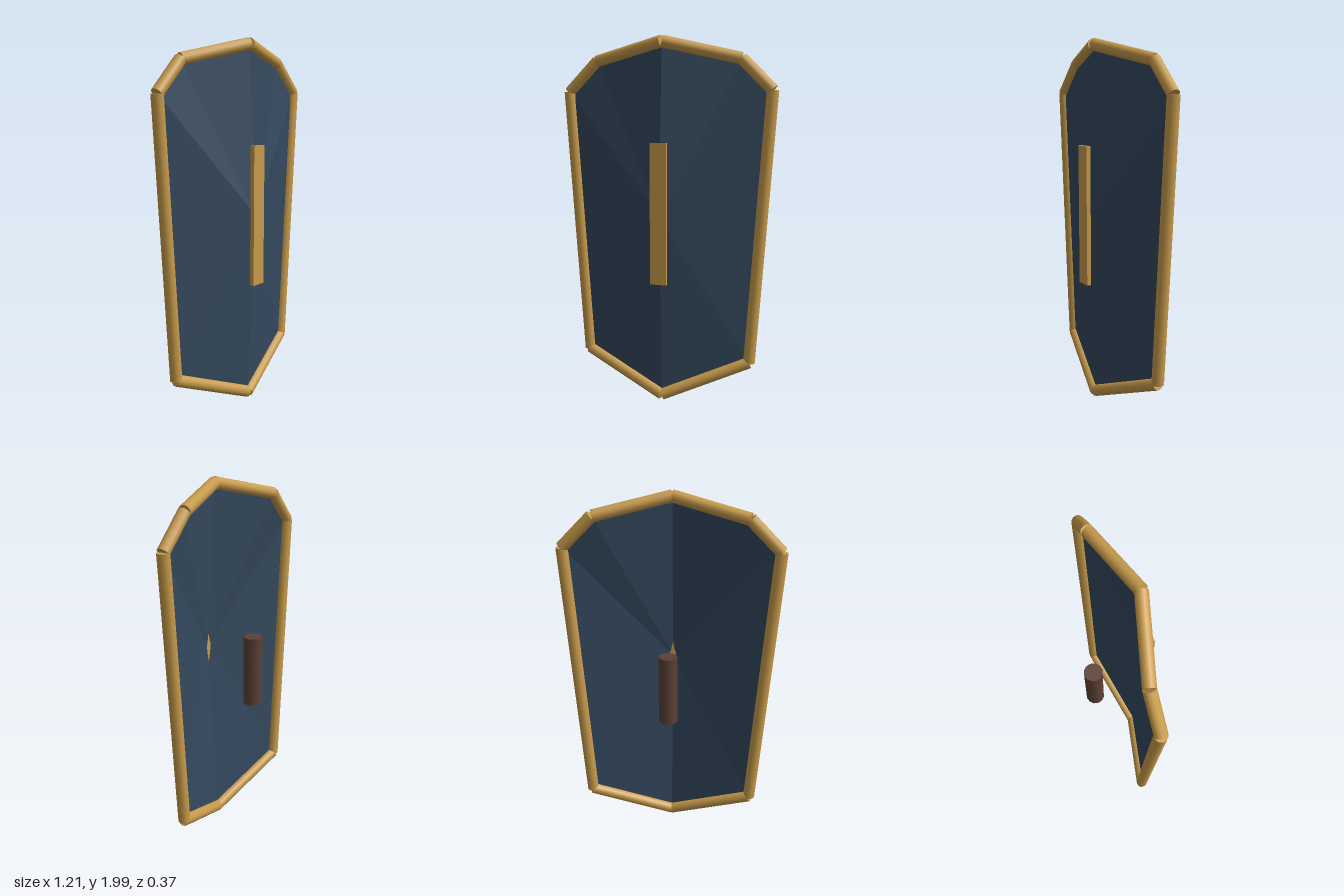
import * as THREE from 'three';

export function createModel() {
  const group = new THREE.Group();
  const make = (name, color, extra = {}) => {
    const m = new THREE.MeshStandardMaterial({ color, ...extra });
    m.name = name;
    return m;
  };
  const blue = make('slate blue', 0x34495e, { side: THREE.DoubleSide, flatShading: true });
  const gold = make('gold', 0xc89b4b);
  const brown = make('brown', 0x5d4037);

  const add = (name, geometry, material) => {
    const mesh = new THREE.Mesh(geometry, material);
    mesh.name = name;
    group.add(mesh);
    return mesh;
  };

  // Shield outline, counter-clockwise seen from the front, and the raised centre
  const outline = [
    [0, 1.968, 0.11], [-0.405, 1.88, 0], [-0.57, 1.715, 0], [-0.47, 0.23, 0],
    [0, 0.037, 0.11], [0.47, 0.23, 0], [0.57, 1.715, 0], [0.405, 1.88, 0],
  ].map((p) => new THREE.Vector3(...p));
  const apex = new THREE.Vector3(0, 1.06, 0.165);

  // Panel: a thin fan of facets around the centre
  const points = [];
  outline.forEach((p, i) => points.push(apex, p, outline[(i + 1) % outline.length]));
  const panel = new THREE.BufferGeometry().setFromPoints(points);
  panel.computeVertexNormals();
  add('panel', panel, blue);

  // Rim: one straight bar along each edge
  outline.forEach((a, i) => {
    const b = outline[(i + 1) % outline.length];
    const dir = b.clone().sub(a);
    const bar = add('rimBar', new THREE.CylinderGeometry(0.033, 0.033, dir.length(), 12), gold);
    bar.position.copy(a).add(b).multiplyScalar(0.5);
    bar.quaternion.setFromUnitVectors(new THREE.Vector3(0, 1, 0), dir.normalize());
  });

  // Upright strip on the front
  add('frontStrip', new THREE.BoxGeometry(0.09, 0.76, 0.024), gold).position.set(0, 1.062, 0.172);

  // Hand grip behind the panel
  add('grip', new THREE.CylinderGeometry(0.051, 0.051, 0.385, 12), brown).position.set(0, 0.982, -0.135);

  return group;
}
